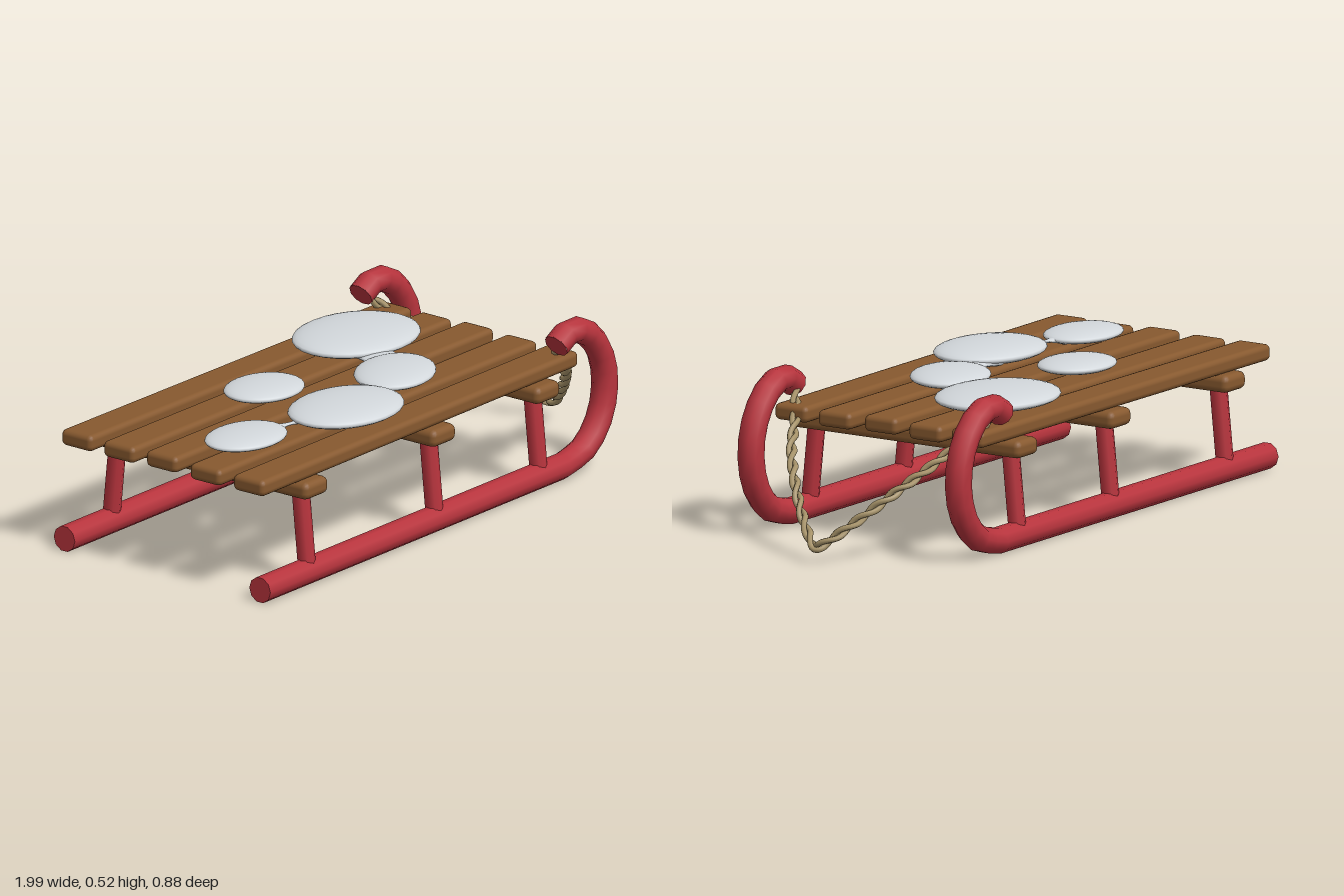
import * as THREE from 'three';
import { RoundedBoxGeometry } from 'three/addons/geometries/RoundedBoxGeometry.js';

const V = (x, y, z) => new THREE.Vector3(x, y, z);
const mat = (name, color) => new THREE.MeshStandardMaterial({ name, color });

export function createModel() {
  const red = mat('red paint', 0xb8343d);
  const wood = mat('brown wood', 0x87592f);
  const snow = mat('snow', 0xd3d8dc);
  const hemp = mat('rope', 0xa8946a);

  const sled = new THREE.Group();
  sled.name = 'sled';
  const add = (name, geometry, material, x = 0, y = 0, z = 0) => {
    const mesh = new THREE.Mesh(geometry, material);
    mesh.name = name;
    mesh.position.set(x, y, z);
    sled.add(mesh);
    return mesh;
  };

  // Runners: a straight tube that curls up and back at the nose
  const curl = [[0.535, 0.043], [0.65, 0.073], [0.728, 0.155], [0.756, 0.265], [0.733, 0.37],
    [0.668, 0.452], [0.585, 0.486], [0.54, 0.472], [0.509, 0.453]].map(([x, y]) => V(x, y, 0));
  const runnerPath = new THREE.CurvePath();
  runnerPath.add(new THREE.LineCurve3(V(-1, 0.043, 0), curl[0]));
  runnerPath.add(new THREE.CatmullRomCurve3(curl));
  const tube = new THREE.TubeGeometry(runnerPath, 40, 0.043, 10);
  const cap = new THREE.CircleGeometry(0.043, 10);
  const barXs = [-0.76, -0.11, 0.42];

  for (const s of [1, -1]) {
    const side = s > 0 ? 'left' : 'right';
    add(side + 'Runner', tube, red, 0, 0, s * 0.397);
    add(side + 'RunnerTailCap', cap, red, -1, 0.043, s * 0.397).rotation.y = -Math.PI / 2;
    add(side + 'RunnerTipCap', cap, red, 0.509, 0.453, s * 0.397)
      .quaternion.setFromUnitVectors(V(0, 0, 1), V(-0.87, -0.49, 0).normalize());

    // Posts lean slightly inwards towards the seat
    for (const x of barXs) {
      add(side + 'Post', new THREE.CylinderGeometry(0.029, 0.029, 0.27, 8), red, x, 0.185, s * 0.384)
        .rotation.x = -s * 0.1;
    }
  }

  // Crossbars
  for (const x of barXs) {
    add('crossbar', new RoundedBoxGeometry(0.12, 0.058, 0.885, 2, 0.022), wood, x, 0.328, 0);
  }

  // Seat slats, each laid a little unevenly: centre z, centre y, yaw
  const slats = [[-0.343, 0.381, -0.011], [-0.177, 0.379, -0.005], [-0.005, 0.384, -0.003],
    [0.172, 0.379, -0.002], [0.343, 0.381, 0.004]];
  for (const [z, y, yaw] of slats) {
    add('seatSlat', new RoundedBoxGeometry(1.62, 0.054, 0.126, 2, 0.018), wood, -0.19, y, z).rotation.y = yaw;
  }

  // Snow patches: x, z, half width, half depth, half height, yaw
  const ball = new THREE.SphereGeometry(1, 28, 16);
  const patches = [[-0.73, 0.125, 0.155, 0.115, 0.024, 0], [-0.33, 0.212, 0.215, 0.165, 0.032, 0],
    [0.045, 0.112, 0.172, 0.128, 0.027, 0.4], [0.235, -0.197, 0.232, 0.187, 0.033, 0],
    [-0.33, -0.12, 0.146, 0.118, 0.025, 0]];
  for (const [x, z, rx, rz, ry, yaw] of patches) {
    const patch = add('snowPatch', ball, snow, x, 0.404 + ry, z);
    patch.scale.set(rx, ry, rz);
    patch.rotation.y = yaw;
  }

  // Waisted necks where neighbouring patches have melted together
  const neck = (x0, z0, x1, z1, waist, flare) => {
    const length = Math.hypot(x1 - x0, z1 - z0);
    const profile = [];
    for (let i = 0; i <= 10; i++) {
      const t = i / 5 - 1;
      profile.push(new THREE.Vector2(waist + (flare - waist) * t * t, t * length / 2));
    }
    const g = new THREE.LatheGeometry(profile, 16);
    g.rotateZ(-Math.PI / 2);
    g.scale(1, 0.018 / flare, 1);
    add('snowNeck', g, snow, (x0 + x1) / 2, 0.426, (z0 + z1) / 2).rotation.y = -Math.atan2(z1 - z0, x1 - x0);
  };
  neck(0.105, 0.05, 0.165, -0.09, 0.062, 0.085);
  neck(-0.20, 0.165, -0.05, 0.14, 0.05, 0.085);
  neck(-0.62, 0.135, -0.47, 0.175, 0.01, 0.045);

  // Pull rope: two strands twisted around one sagging path
  const half = [[0.53, 0.44, 0.38], [0.575, 0.402, 0.348], [0.63, 0.36, 0.313],
    [0.72, 0.298, 0.265], [0.81, 0.225, 0.195], [0.90, 0.135, 0.105], [0.965, 0.065, 0.025]];
  const ropePath = new THREE.CatmullRomCurve3([
    ...half.map(([x, y, z]) => V(x, y, z)),
    V(0.976, 0.052, 0),
    ...half.slice().reverse().map(([x, y, z]) => V(x, y, -z)),
  ]);
  const n = 180;
  const frames = ropePath.computeFrenetFrames(n, false);
  for (const phase of [0, Math.PI]) {
    const points = [];
    for (let i = 0; i <= n; i++) {
      const a = phase + (i / n) * Math.PI * 2 * 10;
      points.push(ropePath.getPointAt(i / n)
        .addScaledVector(frames.normals[i], Math.cos(a) * 0.0095)
        .addScaledVector(frames.binormals[i], Math.sin(a) * 0.0095));
    }
    add('ropeStrand', new THREE.TubeGeometry(new THREE.CatmullRomCurve3(points), 240, 0.0095, 7), hemp);
  }

  return sled;
}
